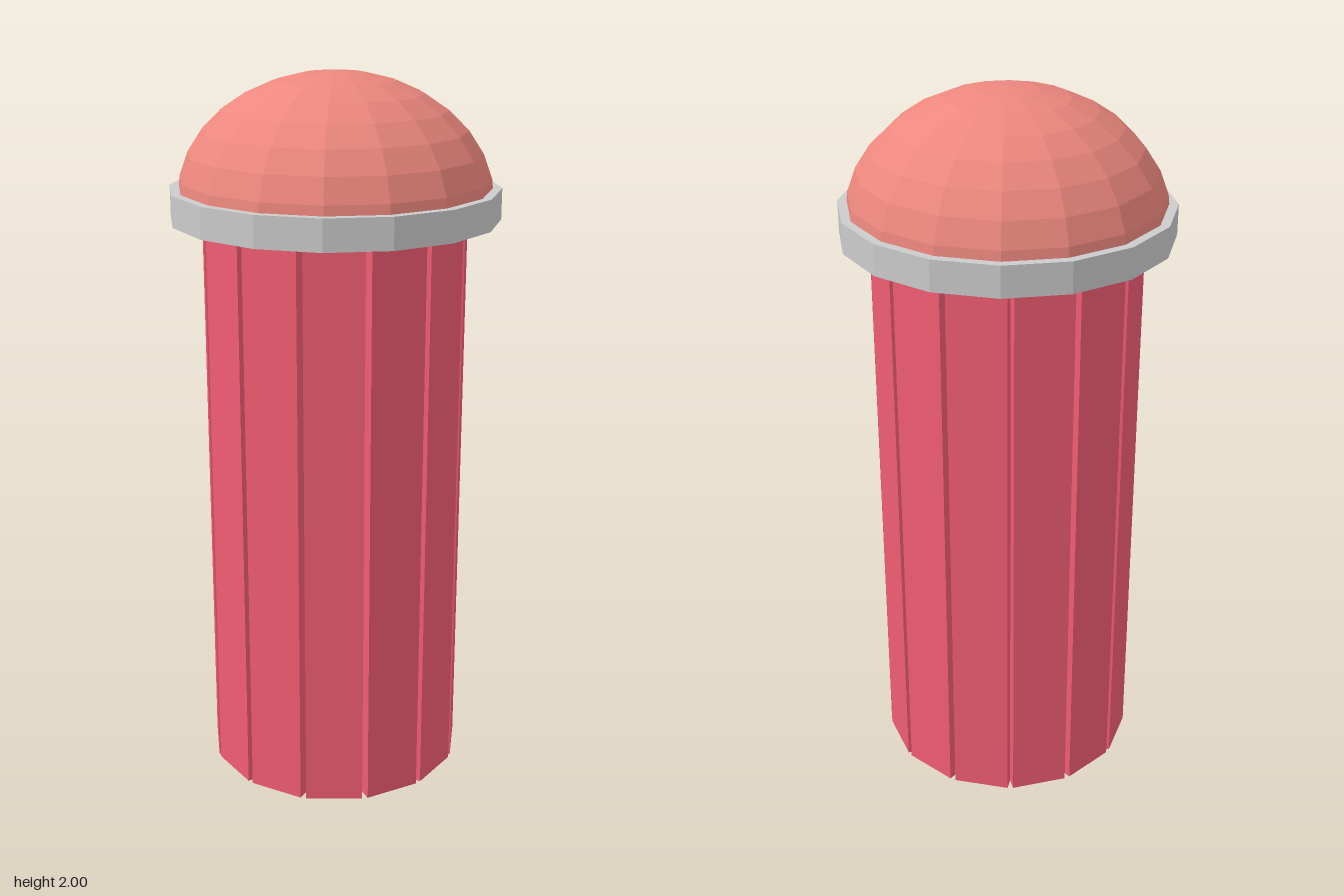
import * as THREE from 'three';

const PLANKS = 13;
const SIDES = 16;

function material(color) {
  return new THREE.MeshStandardMaterial({ color, flatShading: true });
}

export function createModel() {
  const group = new THREE.Group();

  // Hollow body: a ring of narrow upright planks with grooves between them
  const body = new THREE.Group();
  body.name = 'body';
  const plankGeometry = new THREE.BoxGeometry(0.16, 1.61, 0.05);
  plankGeometry.translate(0, 0.805, 0.334);
  const plankMaterial = material(0xf05c72);
  for (let i = 0; i < PLANKS; i++) {
    const plank = new THREE.Mesh(plankGeometry, plankMaterial);
    plank.name = 'plank';
    plank.rotation.y = ((i + 0.5) / PLANKS) * Math.PI * 2;
    body.add(plank);
  }
  group.add(body);

  // Flat collar on top of the planks
  const collar = new THREE.Mesh(new THREE.CylinderGeometry(0.452, 0.452, 0.085, SIDES), material(0xcccccc));
  collar.name = 'collar';
  collar.position.y = 1.65;
  group.add(collar);

  // Squashed, faceted dome rising out of the collar
  const dome = new THREE.Mesh(
    new THREE.SphereGeometry(0.432, SIDES, 8, 0, Math.PI * 2, 0, Math.PI / 2),
    material(0xec877e)
  );
  dome.name = 'domeRoof';
  dome.scale.y = 0.35 / 0.432;
  dome.position.y = 1.65;
  group.add(dome);

  return group;
}
